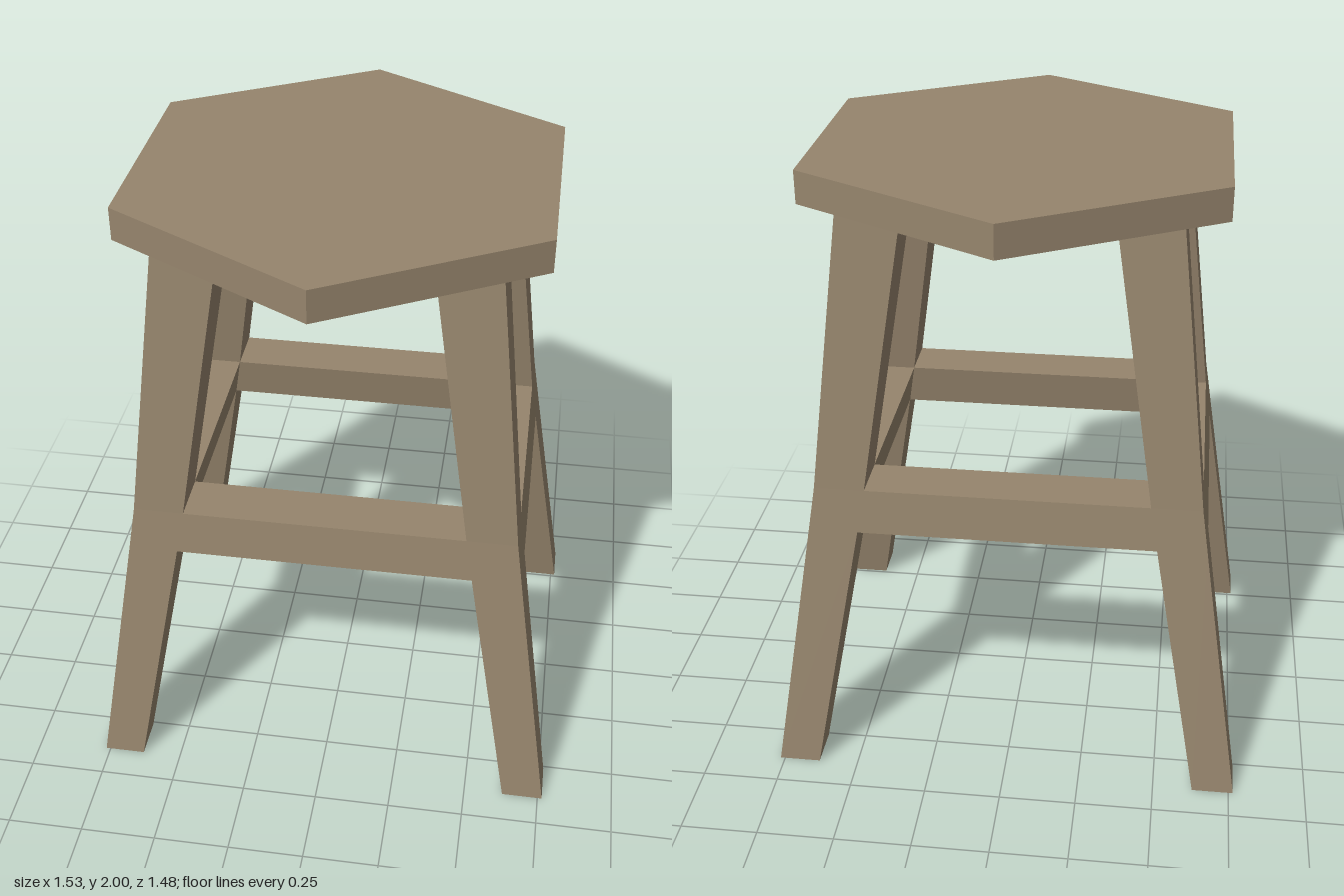
import * as THREE from 'three';

// Leg cross-sections: height, then inner and outer x and z
const LEG = [
  [0, 0.63, 0.765, 0.51, 0.643],
  [0.865, 0.475, 0.632, 0.38, 0.54],
  [1.01, 0.45, 0.61, 0.355, 0.522],
  [1.895, 0.315, 0.51, 0.24, 0.44],
];

// Closed solid through rectangular sections [y, x0, x1, z0, z1]
function loft(sections) {
  const rings = sections.map(([y, xa, xb, za, zb]) => {
    const x0 = Math.min(xa, xb), x1 = Math.max(xa, xb);
    const z0 = Math.min(za, zb), z1 = Math.max(za, zb);
    return [[x0, y, z1], [x1, y, z1], [x1, y, z0], [x0, y, z0]];
  });
  const pos = [];
  const quad = (a, b, c, d) => pos.push(...a, ...b, ...c, ...a, ...c, ...d);
  for (let i = 0; i < rings.length - 1; i++) {
    const lo = rings[i], hi = rings[i + 1];
    for (let k = 0; k < 4; k++) {
      const n = (k + 1) % 4;
      quad(lo[k], lo[n], hi[n], hi[k]);
    }
  }
  const bottom = rings[0], top = rings[rings.length - 1];
  quad(top[0], top[1], top[2], top[3]);
  quad(bottom[3], bottom[2], bottom[1], bottom[0]);
  const geometry = new THREE.BufferGeometry();
  geometry.setAttribute('position', new THREE.Float32BufferAttribute(pos, 3));
  geometry.computeVertexNormals();
  return geometry;
}

export function createModel() {
  const stool = new THREE.Group();
  stool.name = 'stool';
  const wood = new THREE.MeshStandardMaterial({ color: 0x96856d, flatShading: true });
  wood.name = 'brown wood';

  const add = (name, geometry) => {
    const mesh = new THREE.Mesh(geometry, wood);
    mesh.name = name;
    stool.add(mesh);
    return mesh;
  };

  // Hexagonal seat with points to front and back
  add('seat', new THREE.CylinderGeometry(0.74, 0.74, 0.105, 6)).position.y = 1.9475;

  // Four splayed, tapering legs
  for (const sx of [-1, 1]) {
    for (const sz of [-1, 1]) {
      const name = (sz > 0 ? 'front' : 'back') + (sx > 0 ? 'Left' : 'Right') + 'Leg';
      add(name, loft(LEG.map(([y, xi, xo, zi, zo]) => [y, sx * xi, sx * xo, sz * zi, sz * zo])));
    }
  }

  // Rails joining the legs, flush with their inner and outer faces
  const joint = LEG.slice(1, 3);
  for (const s of [-1, 1]) {
    add(s > 0 ? 'frontRail' : 'backRail',
      loft(joint.map(([y, xi, , zi, zo]) => [y, -xi, xi, s * zi, s * zo])));
    add(s > 0 ? 'leftRail' : 'rightRail',
      loft(joint.map(([y, xi, xo, zi]) => [y, s * xi, s * xo, -zi, zi])));
  }
  return stool;
}
